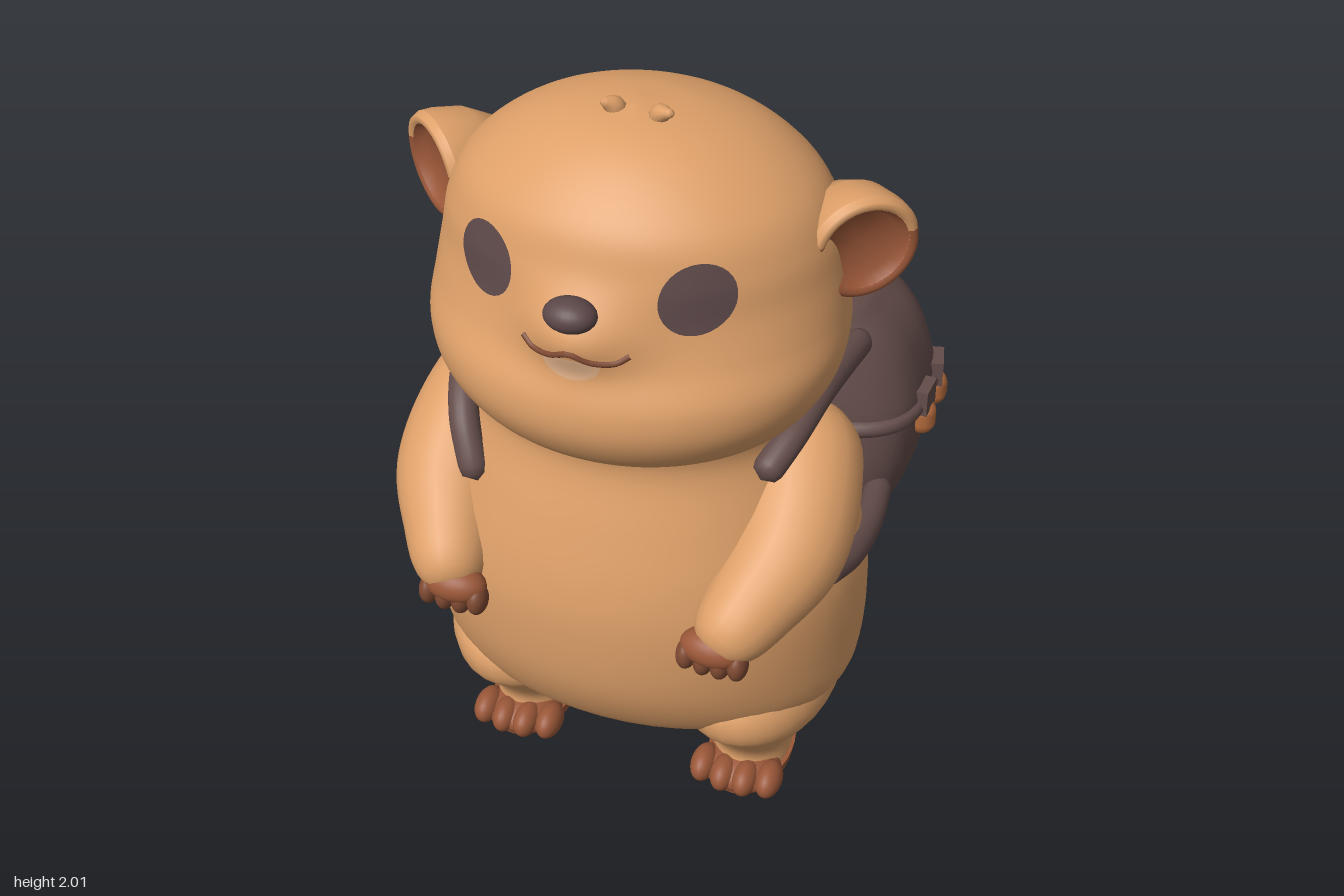
import * as THREE from 'three';
import { mergeVertices } from 'three/addons/utils/BufferGeometryUtils.js';

const paint = (name, color) => Object.assign(new THREE.MeshStandardMaterial({ color, side: THREE.DoubleSide }), { name });

// Weld and smooth a geometry
function smooth(geo) {
  geo.deleteAttribute('uv');
  geo.deleteAttribute('normal');
  const g = mergeVertices(geo, 1e-5);
  g.computeVertexNormals();
  return g;
}

// Smooth stack of cross-sections; each row is [y, centreX, halfWidth, zFront, zBack]
function sections(rows) {
  const a = new THREE.CatmullRomCurve3(rows.map(r => new THREE.Vector3(r[1], r[0], r[2])), false, 'catmullrom');
  const b = new THREE.CatmullRomCurve3(rows.map(r => new THREE.Vector3(r[3], r[0], r[4])), false, 'catmullrom');
  return t => {
    const p = a.getPoint(t), q = b.getPoint(t);
    return { y: p.y, cx: p.x, rx: Math.max(p.z, 0), cz: (q.x + q.z) / 2, rz: Math.max((q.x - q.z) / 2, 0) };
  };
}

function sectionAtY(stack, y) {
  let lo = 0, hi = 1;
  for (let i = 0; i < 30; i++) {
    const mid = (lo + hi) / 2;
    if (stack(mid).y < y) lo = mid; else hi = mid;
  }
  return stack(lo);
}

// Point on a section; exponents below 1 make it boxier
function ringPoint(s, angle, front = 1, back = 1) {
  const sn = Math.sin(angle), cs = Math.cos(angle), e = cs > 0 ? front : back;
  const f = v => Math.sign(v) * Math.abs(v) ** e;
  return new THREE.Vector3(s.cx + s.rx * f(sn), s.y, s.cz + s.rz * f(cs));
}

function loft(stack, rings = 40, sides = 48, front = 1, back = 1) {
  const pos = [], idx = [], w = sides + 1;
  for (let i = 0; i <= rings; i++) {
    const s = stack(i / rings);
    for (let j = 0; j <= sides; j++) {
      pos.push(...ringPoint(s, (j % sides) / sides * Math.PI * 2, front, back).toArray());
      if (i < rings && j < sides) {
        const a = i * w + j;
        idx.push(a, a + 1, a + w, a + 1, a + w + 1, a + w);
      }
    }
  }
  const g = new THREE.BufferGeometry();
  g.setAttribute('position', new THREE.Float32BufferAttribute(pos, 3));
  g.setIndex(idx);
  return smooth(g);
}

// Rounded limb along points [x, y, z, radius]
function limb(pts, segs = 36, sides = 20) {
  const curve = new THREE.CatmullRomCurve3(pts.map(p => new THREE.Vector3(p[0], p[1], p[2])));
  const radii = new THREE.SplineCurve(pts.map((p, i) => new THREE.Vector2(i, p[3])));
  const g = new THREE.TubeGeometry(curve, segs, 1, sides, false), pos = g.attributes.position;
  const len = curve.getLength(), v = new THREE.Vector3();
  for (let i = 0; i <= segs; i++) {
    const u = i / segs, c = curve.getPointAt(u), r = radii.getPoint(curve.getUtoTmapping(u)).y;
    const d = Math.min(1, Math.min(u, 1 - u) * len / r);
    const k = r * Math.sqrt(Math.max(0, 1 - (1 - d) ** 2));
    for (let j = 0; j <= sides; j++) {
      const n = i * (sides + 1) + j;
      v.fromBufferAttribute(pos, n).sub(c).multiplyScalar(k).add(c);
      pos.setXYZ(n, v.x, v.y, v.z);
    }
  }
  return smooth(g);
}

const HEAD = sections([
  [1.12, 0, 0.0, 0.5, 0.46], [1.14, 0, 0.28, 0.74, 0.22], [1.2, 0, 0.42, 0.86, 0.12], [1.3, 0, 0.495, 0.93, 0.07],
  [1.4, 0, 0.523, 0.935, 0.05], [1.5, 0, 0.517, 0.885, 0.04], [1.6, 0, 0.502, 0.85, 0.04], [1.7, 0, 0.48, 0.835, 0.055],
  [1.8, 0, 0.425, 0.8, 0.1], [1.89, 0, 0.31, 0.71, 0.19], [1.945, 0, 0.17, 0.61, 0.32], [1.968, 0, 0.0, 0.49, 0.45]]);
const BODY = sections([
  [0.18, 0, 0.0, 0.46, 0.44], [0.2, 0, 0.25, 0.65, 0.25], [0.26, 0, 0.48, 0.78, 0.17], [0.35, 0, 0.57, 0.86, 0.07],
  [0.5, 0, 0.592, 0.925, -0.02], [0.7, 0, 0.59, 0.945, -0.01], [0.85, 0, 0.55, 0.93, 0.03], [1.0, 0, 0.49, 0.89, 0.08],
  [1.15, 0, 0.435, 0.845, 0.12], [1.25, 0, 0.44, 0.86, 0.12]]);
const LEG = sections([
  [0.025, 0.325, 0.105, 0.69, 0.37], [0.1, 0.325, 0.112, 0.66, 0.35], [0.2, 0.33, 0.175, 0.72, 0.26],
  [0.3, 0.33, 0.215, 0.8, 0.15], [0.41, 0.31, 0.195, 0.77, 0.15], [0.54, 0.28, 0.06, 0.55, 0.38]]);
const PACK = sections([
  [0.55, 0, 0.0, -0.08, -0.1], [0.555, 0, 0.4, 0.07, -0.27], [0.6, 0, 0.55, 0.2, -0.35], [0.75, 0, 0.605, 0.23, -0.37],
  [0.93, 0, 0.61, 0.22, -0.37], [1.0, 0, 0.58, 0.205, -0.36]]);
const FLAP = sections([
  [0.92, 0, 0.59, 0.21, -0.36], [0.94, 0, 0.62, 0.225, -0.382], [1.1, 0, 0.575, 0.205, -0.355], [1.2, 0, 0.495, 0.19, -0.31],
  [1.245, 0, 0.39, 0.16, -0.23], [1.255, 0, 0.0, -0.02, -0.04]]);
const PACK_FRONT = 0.5, PACK_BACK = 0.9;

// Muzzle swelling, and the front surface of the face with it
const muzzle = (x, y) => 0.072 * Math.exp(-((x / 0.14) ** 2) - ((y - 1.585) / 0.085) ** 2);
function faceZ(x, y) {
  const s = sectionAtY(HEAD, y);
  return s.cz + s.rz * Math.sqrt(Math.max(0, 1 - (x / s.rx) ** 2)) + muzzle(x, y);
}

// Disc laid on the face, with separate upper and lower heights
function facePatch(cx, cy, w, up, down) {
  const g = new THREE.RingGeometry(0, 1, 32, 6), p = g.attributes.position;
  for (let i = 0; i < p.count; i++) {
    const x = cx + p.getX(i) * w, y = cy + p.getY(i) * (p.getY(i) > 0 ? up : down);
    p.setXYZ(i, x, y, faceZ(x, y) + 0.007);
  }
  return smooth(g);
}

export function createModel() {
  const fur = paint('tan fur', 0xdea069), brown = paint('brown paw', 0x9a5738), tip = paint('tail brown', 0x7d4932);
  const dark = paint('dark canvas', 0x644d4a), eyeMat = paint('eye dark', 0x5c4748);
  const buckle = paint('buckle orange', 0xb26a3c), cream = paint('mouth cream', 0xe6b58c);
  const model = new THREE.Group();
  const add = (name, geo, mat, x = 0, y = 0, z = 0, sx = 1, sy = 1, sz = 1) => {
    const m = new THREE.Mesh(geo, mat);
    m.name = name;
    m.position.set(x, y, z);
    m.scale.set(sx, sy, sz);
    model.add(m);
    return m;
  };
  const ball = new THREE.SphereGeometry(1, 24, 16);
  const lathe = (pts, start = 0, sweep = Math.PI * 2) =>
    smooth(new THREE.LatheGeometry(pts.map(p => new THREE.Vector2(...p)), 32, start, sweep));

  // Head with the muzzle pushed out, and body
  const headGeo = loft(HEAD, 72, 96), hp = headGeo.attributes.position;
  for (let i = 0; i < hp.count; i++)
    if (hp.getZ(i) > 0.45) hp.setZ(i, hp.getZ(i) + muzzle(hp.getX(i), hp.getY(i)));
  headGeo.computeVertexNormals();
  add('head', headGeo, fur);
  add('body', loft(BODY), fur);
  add('nose', ball, eyeMat, 0, 1.652, 0.905, 0.064, 0.04, 0.05);
  for (const [x, lean] of [[-0.045, 0.3], [0.07, -0.7]])
    add('hairTuft', limb([[x, 1.93, 0.49, 0.03], [x, 1.965, 0.51, 0.026], [x - lean * 0.06, 1.99, 0.54, 0.008]], 12, 10), fur);

  // Mouth: an open wedge below two curved lips
  add('mouth', facePatch(0, 1.525, 0.07, 0.02, 0.045), cream);
  const lip = [[-0.13, 1.55], [-0.1, 1.533], [-0.05, 1.537], [0, 1.558], [0.05, 1.537], [0.1, 1.533], [0.13, 1.55]];
  const lipCurve = new THREE.CatmullRomCurve3(lip.map(([x, y]) => new THREE.Vector3(x, y, faceZ(x, y))));
  add('lips', new THREE.TubeGeometry(lipCurve, 32, 0.008, 8), tip);

  const earBack = lathe([[0, -0.16], [0.075, -0.14], [0.12, -0.07], [0.138, 0], [0.14, 0.03]]);
  const earInner = lathe([[0.11, 0.045], [0.09, 0.02], [0, 0.005]]);
  const earRim = [[0.14, 0.03], [0.132, 0.048], [0.12, 0.052], [0.11, 0.045]];
  for (const s of [1, -1]) {
    add('eye', facePatch(s * 0.258, 1.672, 0.08, 0.084, 0.084), eyeMat);

    // Ears: the rim is tan over the top and brown below
    const facing = new THREE.Vector3(s * 0.64, -0.06, 0.77).normalize();
    const turn = new THREE.Quaternion().setFromUnitVectors(new THREE.Vector3(0, 1, 0), facing);
    const top = Math.atan2(facing.x, facing.z) + Math.PI;
    for (const [name, geo, mat] of [['ear', earBack, fur], ['innerEar', earInner, brown],
      ['earRimTop', lathe(earRim, top - 1.3, 2.6), fur], ['earRimLower', lathe(earRim, top + 1.3, Math.PI * 2 - 2.6), brown]])
      add(name, geo, mat, s * 0.525, 1.67, 0.42).quaternion.copy(turn);

    // Legs, soles and toes
    const leg = add('leg', loft(LEG, 24, 32), fur);
    if (s < 0) leg.position.x = -0.65;
    add('sole', new THREE.CylinderGeometry(1, 0.95, 0.035, 32), brown, s * 0.325, 0.0175, 0.535, 0.115, 1, 0.18);
    add('footTop', ball, brown, s * 0.325, 0.035, 0.63, 0.115, 0.05, 0.09);
    for (let i = 0; i < 4; i++)
      add('toe', ball, brown, s * (0.23 + i * 0.062), 0.045, 0.685 - Math.abs(i - 1.5) * 0.015, 0.036, 0.045, 0.06);

    // Arms, paws and fingers
    add('arm', limb([[s * 0.38, 1.12, 0.36, 0.13], [s * 0.43, 1.03, 0.5, 0.155], [s * 0.45, 0.91, 0.67, 0.15],
      [s * 0.4, 0.82, 0.82, 0.115], [s * 0.34, 0.75, 0.95, 0.085]]), fur);
    add('paw', ball, brown, s * 0.345, 0.755, 0.92, 0.085, 0.05, 0.054);
    for (let i = 0; i < 4; i++)
      add('finger', ball, tip, s * (0.28 + i * 0.044), 0.725 - (i === 1 || i === 2 ? 0.008 : 0), 0.93, 0.026, 0.042, 0.038);

    // Shoulder strap and lower strap
    const strap = [[0.47, 1.17, 0.12], [0.46, 1.2, 0.3], [0.45, 1.215, 0.45], [0.43, 1.19, 0.6], [0.39, 1.13, 0.71]];
    if (s < 0) strap.push([0.355, 1.06, 0.76], [0.325, 0.99, 0.79]);
    add('shoulderStrap', limb(strap.map(q => [s * q[0], q[1], q[2], 0.039])), dark);
    add('lowerStrap', limb([[0.54, 0.7, 0.12, 0.038], [0.565, 0.73, 0.33, 0.038], [0.565, 0.77, 0.5, 0.038],
      [0.545, 0.82, 0.66, 0.03]].map(q => [s * q[0], q[1], q[2], q[3]])), dark);
  }

  // Backpack with flap, band and carry handle
  add('backpack', loft(PACK, 30, 64, PACK_FRONT, PACK_BACK), dark);
  add('backpackFlap', loft(FLAP, 24, 64, PACK_FRONT, PACK_BACK), dark);
  const rim = sectionAtY(PACK, 0.92), rimPoint = a => ringPoint(rim, a, PACK_FRONT, PACK_BACK);
  const loop = Array.from({ length: 40 }, (_, i) => rimPoint(i / 40 * Math.PI * 2));
  add('backpackBand', new THREE.TubeGeometry(new THREE.CatmullRomCurve3(loop, true), 100, 0.026, 8, true), dark);
  add('carryHandle', limb([[-0.32, 1.22, 0, 0.035], [-0.33, 1.275, -0.015, 0.035], [-0.28, 1.295, -0.02, 0.035],
    [0, 1.295, -0.02, 0.035], [0.28, 1.295, -0.02, 0.035], [0.33, 1.275, -0.015, 0.035], [0.32, 1.22, 0, 0.035]], 60, 12), dark);

  // Strap tabs and buckles round the outside of the pack
  const tabGeo = new THREE.BoxGeometry(0.08, 0.075, 0.065), buckleGeo = new THREE.CapsuleGeometry(0.038, 0.03, 4, 12);
  for (const s of [1, -1]) for (const a of [1.488, 1.71, 2.24, 2.6, 3.03]) {
    const p = rimPoint(s * a), q = rimPoint(s * (a + 0.05)).sub(rimPoint(s * (a - 0.05)));
    const yaw = Math.atan2(-q.z, q.x);
    add('strapTab', tabGeo, dark, p.x, 0.938, p.z).rotation.y = yaw;
    add('buckle', buckleGeo, buckle, p.x * 1.015, 0.867, p.z - 0.006).rotation.y = yaw;
  }

  // Tail with a bulb at the end, the brown reaching further along the underside
  add('tail', limb([[0.03, 0.49, 0.12, 0.1], [-0.02, 0.44, -0.03, 0.08], [-0.065, 0.36, -0.22, 0.079],
    [-0.115, 0.285, -0.42, 0.081], [-0.18, 0.255, -0.6, 0.083], [-0.22, 0.275, -0.72, 0.08]]), fur);
  add('tailBulb', limb([[-0.12, 0.262, -0.42, 0.067], [-0.18, 0.24, -0.6, 0.083], [-0.22, 0.265, -0.7, 0.108],
    [-0.27, 0.31, -0.79, 0.134], [-0.32, 0.36, -0.87, 0.142], [-0.36, 0.41, -0.95, 0.125]], 48), tip);

  // Loose charm hanging behind the leg
  add('charm', ball, dark, -0.36, 0.312, -0.08, 0.033, 0.025, 0.028);
  add('charm', ball, dark, -0.35, 0.298, -0.115, 0.025, 0.028, 0.028);
  return model;
}
